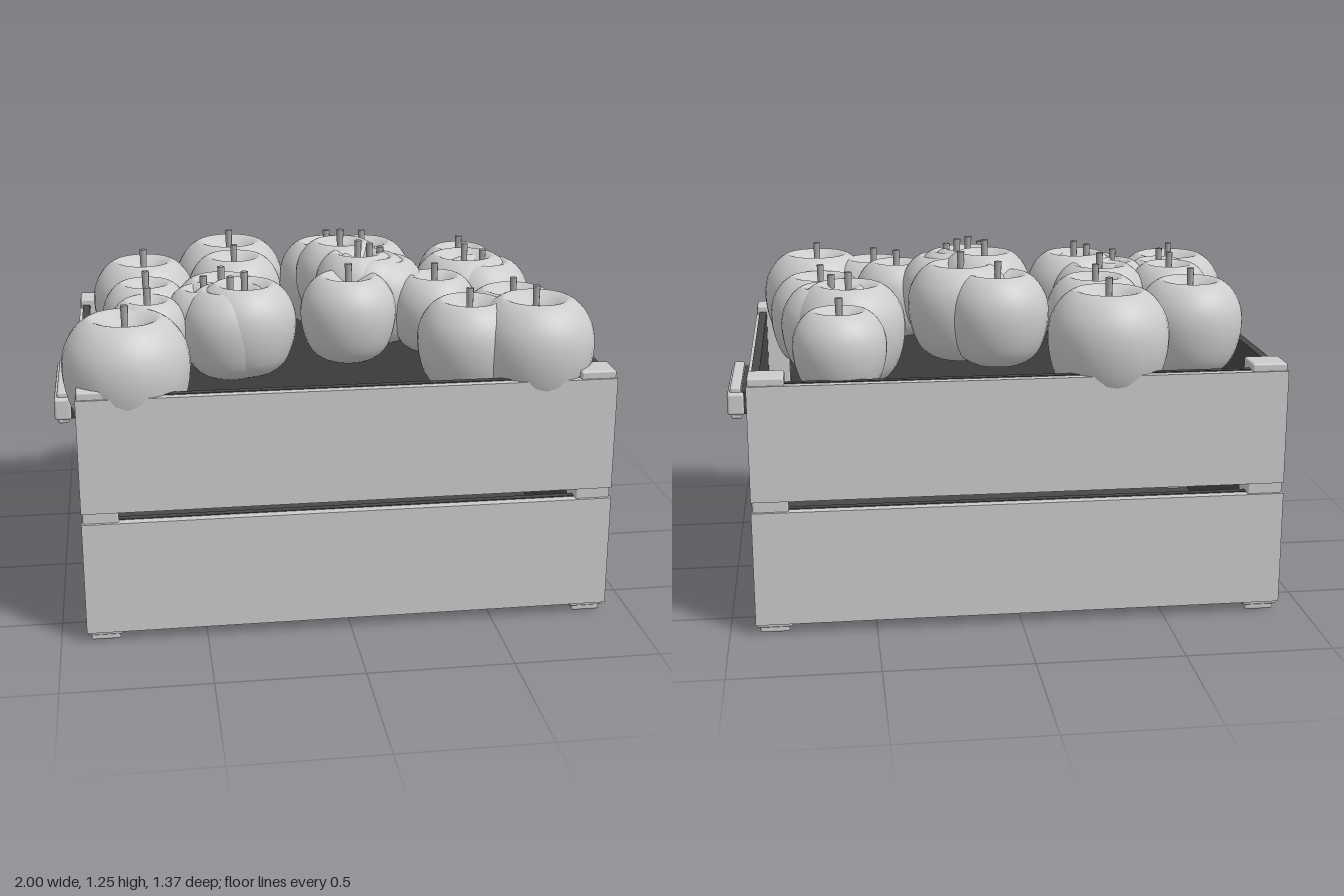
import * as THREE from 'three';
import { RoundedBoxGeometry } from 'three/addons/geometries/RoundedBoxGeometry.js';

const paleGrey = new THREE.MeshStandardMaterial({ color: 0xcccccc });
paleGrey.name = 'pale grey';
const darkGrey = new THREE.MeshStandardMaterial({ color: 0x484848 });
darkGrey.name = 'dark grey';
const stemGrey = new THREE.MeshStandardMaterial({ color: 0xa8a8a8 });
stemGrey.name = 'stem grey';

// Box given by its minimum and maximum corners
function box(parent, name, material, [x0, y0, z0], [x1, y1, z1], bevel = 0) {
  const size = [x1 - x0, y1 - y0, z1 - z0];
  const geometry = bevel ? new RoundedBoxGeometry(...size, 2, bevel) : new THREE.BoxGeometry(...size);
  const mesh = new THREE.Mesh(geometry, material);
  mesh.position.set((x0 + x1) / 2, (y0 + y1) / 2, (z0 + z1) / 2);
  mesh.name = name;
  parent.add(mesh);
  return mesh;
}

// Apple outline for radius 1, from underside to the dip under the stem
const outline = new THREE.SplineCurve([
  [0, -0.95], [0.35, -1.05], [0.62, -0.97], [0.83, -0.75], [0.96, -0.38], [1, 0],
  [0.94, 0.32], [0.78, 0.58], [0.6, 0.72], [0.5, 0.72], [0.32, 0.62], [0.12, 0.5], [0, 0.46],
].map(([x, y]) => new THREE.Vector2(x, y)));
const applePoints = outline.getPoints(30).map((p) => new THREE.Vector2(Math.max(p.x, 0), p.y));
const appleGeometry = new THREE.LatheGeometry(applePoints, 32);
const stemGeometry = new THREE.CylinderGeometry(0.013, 0.011, 1, 8);

// Each apple: x, z, radius, height of its shoulder
const apples = [
  [-0.32, -0.48, 0.21, 1.13], [-0.66, -0.25, 0.19, 1.115], [-0.32, -0.22, 0.175, 1.13],
  [-0.66, 0.09, 0.155, 1.115], [-0.66, 0.27, 0.135, 1.1], [-0.74, 0.455, 0.217, 1.09],
  [-0.39, 0.08, 0.18, 1.12], [-0.32, 0.245, 0.18, 1.14], [-0.37, 0.25, 0.175, 1.125],
  [-0.46, 0.19, 0.135, 1.115], [0.04, -0.29, 0.18, 1.16], [0.065, -0.09, 0.165, 1.205],
  [0.16, -0.185, 0.19, 1.18], [0.11, 0.055, 0.155, 1.195], [0.15, 0.065, 0.16, 1.185],
  [0.19, 0.06, 0.17, 1.17], [0.05, 0.22, 0.17, 1.15], [0.37, 0.17, 0.155, 1.13],
  [0.6, -0.475, 0.16, 1.08], [0.56, -0.19, 0.2, 1.115], [0.62, -0.145, 0.18, 1.1],
  [0.655, 0.2, 0.19, 1.075], [0.445, 0.42, 0.18, 1.1], [0.665, 0.475, 0.207, 1.115],
];

export function createModel() {
  const model = new THREE.Group();
  model.name = 'appleCrate';

  // Crate floor
  box(model, 'floor', darkGrey, [-0.89, 0.035, -0.635], [0.89, 0.065, 0.635]);

  // Corner posts with small feet
  for (const sx of [-1, 1]) for (const sz of [-1, 1]) {
    const corner = new THREE.Group();
    corner.name = 'cornerPost';
    corner.position.set(sx * 0.848, 0, sz * 0.594);
    box(corner, 'post', paleGrey, [-0.061, 0.02, -0.057], [0.061, 0.897, 0.057], 0.008);
    box(corner, 'foot', paleGrey, [-0.05, 0, -0.05], [0.05, 0.05, 0.05], 0.008);
    model.add(corner);
  }

  // Two rows of boards on each side, pale outside and dark inside
  for (const [y0, y1] of [[0.04, 0.43], [0.477, 0.865]]) {
    for (const s of [-1, 1]) {
      const z = (a) => s * a;
      const span = (a, b) => [Math.min(z(a), z(b)), Math.max(z(a), z(b))];
      const [f0, f1] = span(0.63, y0 < 0.1 ? 0.662 : 0.658);
      box(model, s > 0 ? 'frontBoard' : 'backBoard', paleGrey, [-0.912, y0 - 0.005, f0], [0.912, y1 + 0.005, f1]);
      const [g0, g1] = span(0.605, 0.63);
      box(model, 'endwiseLining', darkGrey, [-0.79, y0 - 0.005, g0], [0.79, y1 + 0.008, g1]);
      const [h0, h1] = span(0.9, 0.912);
      box(model, s > 0 ? 'leftBoard' : 'rightBoard', paleGrey, [h0, y0, -0.655], [h1, y1 - 0.005, 0.655]);
      const [k0, k1] = span(0.872, 0.9);
      box(model, 'sideLining', darkGrey, [k0, y0 - 0.008, -0.54], [k1, y1 + 0.008, 0.54]);
    }
  }

  // Side handles on dark mounts
  for (const s of [-1, 1]) {
    const handle = new THREE.Group();
    handle.name = s > 0 ? 'leftHandle' : 'rightHandle';
    box(handle, 'mount', darkGrey, [-0.06, -0.04, -0.2], [0.02, 0.04, 0.2]);
    box(handle, 'grip', paleGrey, [-0.02, -0.06, -0.2], [0.02, 0.06, 0.2], 0.01);
    box(handle, 'gripBand', paleGrey, [-0.03, -0.04, -0.222], [0.03, 0.04, 0.222], 0.01);
    handle.position.set(s * 0.97, 0.695, 0);
    if (s < 0) handle.rotation.y = Math.PI;
    model.add(handle);
  }

  // Heaped apples
  for (const [x, z, r, top] of apples) {
    const apple = new THREE.Group();
    apple.name = 'apple';
    const body = new THREE.Mesh(appleGeometry, paleGrey);
    body.name = 'appleBody';
    body.scale.setScalar(r);
    const stem = new THREE.Mesh(stemGeometry, stemGrey);
    stem.name = 'stem';
    const base = 0.44 * r, tip = 0.73 * r + 0.043;
    stem.scale.y = tip - base;
    stem.position.y = (base + tip) / 2;
    apple.add(body, stem);
    apple.position.set(x, top - 0.73 * r, z);
    model.add(apple);
  }
  return model;
}
